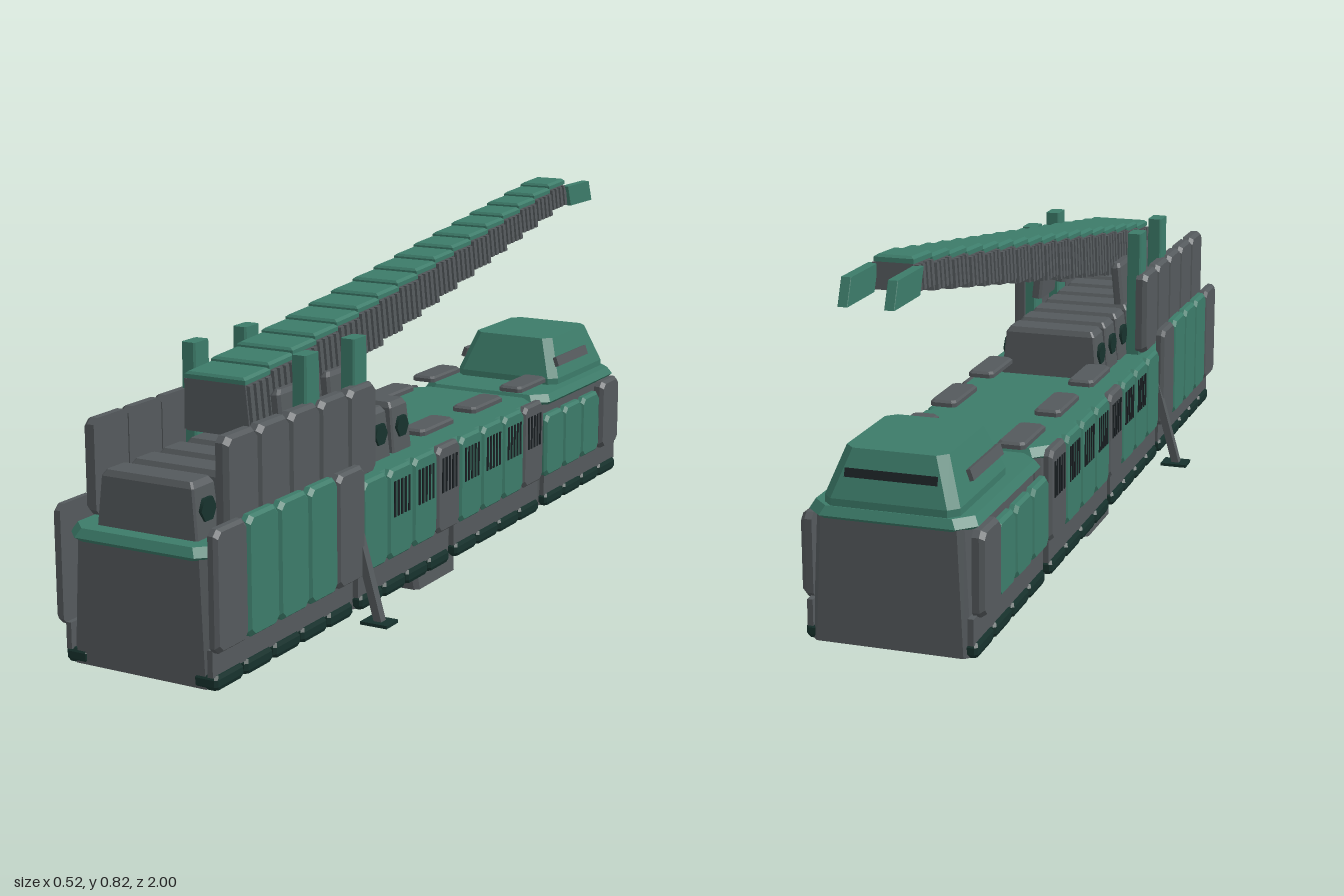
import * as THREE from 'three';

const mat = (name, color) => Object.assign(new THREE.MeshStandardMaterial({ color }), { name });

// Stack of chamfered rectangles [y, halfX, halfZ, chamfer] joined into a closed faceted solid
function loft(sections) {
  const rings = sections.map(([y, w, d, c = 0.001]) => [
    [w, d - c], [w, c - d], [w - c, -d], [c - w, -d],
    [-w, c - d], [-w, d - c], [c - w, d], [w - c, d],
  ].map(([x, z]) => [x, y, z]));
  const pos = [];
  const tri = (a, b, c) => pos.push(...a, ...b, ...c);
  for (let s = 0; s + 1 < rings.length; s++) {
    for (let i = 0; i < 8; i++) {
      const j = (i + 1) % 8, a = rings[s], b = rings[s + 1];
      tri(a[i], a[j], b[j]);
      tri(a[i], b[j], b[i]);
    }
  }
  const lo = rings[0], hi = rings[rings.length - 1];
  for (let i = 1; i < 7; i++) {
    tri(lo[0], lo[i + 1], lo[i]);
    tri(hi[0], hi[i], hi[i + 1]);
  }
  const g = new THREE.BufferGeometry();
  g.setAttribute('position', new THREE.Float32BufferAttribute(pos, 3));
  g.computeVertexNormals();
  return g;
}

export function createModel() {
  const root = new THREE.Group();
  root.name = 'armouredGunCarrier';
  const green = mat('armour green', 0x3c7b69);
  const gray = mat('steel gray', 0x54595c);
  const dark = mat('dark green', 0x17322d);
  const black = mat('vent black', 0x1b2124);

  const add = (name, geo, m, x = 0, y = 0, z = 0, parent = root) => {
    const mesh = new THREE.Mesh(geo, m);
    mesh.name = name;
    mesh.position.set(x, y, z);
    parent.add(mesh);
    return mesh;
  };
  const box = (name, m, w, h, d, x, y, z, parent) =>
    add(name, new THREE.BoxGeometry(w, h, d), m, x, y, z, parent);
  // Bevelled upright plate facing outwards; x is its inner face
  const plate = (name, m, side, x, t, y0, y1, z0, z1) => {
    const h = (y1 - y0) / 2, d = (z1 - z0) / 2;
    const g = loft([[0, h, d, 0.012], [t * 0.6, h, d, 0.012], [t, h - 0.006, d - 0.006, 0.012]]);
    g.rotateZ(-side * Math.PI / 2);
    return add(name, g, m, side * x, (y0 + y1) / 2, (z0 + z1) / 2);
  };

  // Hull modules with narrow gaps, joined by a core
  for (const [z0, z1] of [[0.465, 0.985], [0.03, 0.445], [-0.445, 0.01], [-0.918, -0.475]]) {
    const d = (z1 - z0) / 2;
    add('hull', loft([[0.05, 0.165, d, 0.012], [0.31, 0.152, d - 0.004, 0.012]]), gray, 0, 0, (z0 + z1) / 2);
  }
  box('hullCore', gray, 0.28, 0.17, 1.8, 0, 0.22, 0.03);

  // Deck edges
  for (const [z0, z1] of [[-0.452, 0.997], [-0.922, -0.468]]) {
    const d = (z1 - z0) / 2;
    add('deck', loft([[0.303, 0.165, d - 0.01, 0.035], [0.312, 0.175, d, 0.035], [0.33, 0.165, d - 0.01, 0.035]]),
      green, 0, 0, (z0 + z1) / 2);
  }

  // Belly box
  add('bellyBox', loft([[0, 0.146, 0.093, 0.01], [0.043, 0.142, 0.098, 0.01]]), gray, 0, 0, 0.035);

  // Rear cabin with slit windows
  add('cabin', loft([[0.328, 0.14, 0.153, 0.02], [0.345, 0.14, 0.153, 0.02], [0.44, 0.106, 0.118, 0.02]]),
    green, 0, 0, -0.757);
  const slit = box('cabinRearWindow', black, 0.19, 0.018, 0.008, 0, 0.395, -0.893);
  slit.rotation.x = 0.35;

  // Row of transverse casings under the gun, with dark side ports
  const casing = loft([[0, 0.118, 0.041, 0.004], [0.1, 0.108, 0.037, 0.004], [0.112, 0.1, 0.03, 0.004]]);
  const port = new THREE.CylinderGeometry(0.026, 0.026, 0.008, 6).rotateZ(Math.PI / 2);
  for (let i = 0; i < 9; i++) {
    const z = 0.912 - i * 0.0955;
    add('casing', casing, gray, 0, 0.33, z);
    for (const s of [-1, 1]) add('casingPort', port, dark, s * 0.115, 0.385, z);
  }

  for (const s of [-1, 1]) {
    // Tall lower side armour
    [gray, green, green, green, gray].forEach((m, i) => {
      const z1 = 0.998 - i * 0.112;
      plate('tallSidePanel', m, s, 0.172, 0.02, 0.128, 0.373, z1 - 0.109, z1);
    });
    // Short side armour, most with vent slots
    [green, green, green, gray, green, green, green, gray].forEach((m, i) => {
      const z1 = 0.434 - i * 0.111;
      plate('sidePanel', m, s, 0.165, 0.018, 0.128, 0.33, z1 - 0.108, z1);
      if (i > 0) {
        for (let k = 0; k < 5; k++)
          box('ventSlot', black, 0.004, 0.08, 0.007, s * 0.183, 0.262, z1 - 0.022 - k * 0.016);
      }
    });
    // Rear side armour
    [green, green, green, gray].forEach((m, i) => {
      const z1 = -0.468 - i * 0.109;
      plate('rearSidePanel', m, s, 0.165, i === 3 ? 0.025 : 0.018, 0.128, i === 3 ? 0.305 : 0.285, z1 - 0.106, z1);
    });
    // Raised upper armour
    for (let i = 0; i < 5; i++) {
      const z1 = 0.922 - i * 0.1145;
      plate('upperPanel', gray, s, 0.142, 0.027, 0.335, 0.532, z1 - 0.111, z1);
    }
    // Ground skids and the strips above them
    for (const [z0, z1, n] of [[0.468, 0.99, 5], [0.033, 0.442, 4], [-0.442, 0.007, 4], [-0.915, -0.478, 4]]) {
      const p = (z1 - z0) / n;
      box('lowerStrip', gray, 0.012, 0.055, z1 - z0, s * 0.167, 0.105, (z0 + z1) / 2);
      for (let k = 0; k < n; k++) {
        const skid = loft([[0, 0.024, p / 2 - 0.008, 0.006], [0.008, 0.027, p / 2 - 0.003, 0.006],
          [0.022, 0.027, p / 2 - 0.003, 0.006], [0.03, 0.024, p / 2 - 0.008, 0.006]]);
        add('skid', skid, dark, s * 0.152, 0.05, z0 + p * (k + 0.5));
      }
    }
    // Deck hatches
    for (const z of [0.035, -0.215, -0.46])
      add('deckHatch', loft([[0, 0.03, 0.076, 0.008], [0.009, 0.03, 0.076, 0.008], [0.014, 0.026, 0.07, 0.008]]),
        gray, s * 0.12, 0.355, z);
    // Cabin side hatch bars
    const bar = box('cabinSideBar', gray, 0.01, 0.024, 0.18, s * 0.13, 0.385, -0.72);
    bar.rotation.z = s * 0.34;
    // Gun support posts and slanted cheeks
    for (const z of [0.582, 0.39]) {
      add('supportPost', loft([[0.33, 0.018, 0.03, 0.004], [0.63, 0.017, 0.027, 0.004]]), green, s * 0.134, 0, z);
      const cheek = add('gunCheek', loft([[-0.05, 0.012, 0.06, 0.006], [0.04, 0.012, 0.06, 0.006], [0.05, 0.008, 0.05, 0.006]]),
        gray, s * 0.1, 0.51, z);
      cheek.rotation.z = s * 0.1;
    }
    // Outrigger: strut and foot
    const a = new THREE.Vector3(s * 0.228, 0.036, 0.445), b = new THREE.Vector3(s * 0.168, 0.25, 0.445);
    const strut = box('outriggerStrut', gray, 0.018, a.distanceTo(b), 0.02, 0, 0, 0);
    strut.position.copy(a).lerp(b, 0.5);
    strut.rotation.z = s * Math.atan2(0.06, 0.214);
    box('outriggerFoot', dark, 0.064, 0.007, 0.05, s * 0.226, 0.035, 0.445);
    // Muzzle prong, slanted at both ends
    const prong = loft([[0, 0.01, 0.066], [0.052, 0.01, 0.066]]);
    const p = prong.attributes.position;
    for (let i = 0; i < p.count; i++) p.setZ(i, p.getZ(i) + p.getY(i) * 0.4);
    prong.computeVertexNormals();
    add('muzzleProng', prong, green, s * 0.046, 0.75, -0.934);
  }

  // Tapering gun of overlapping ribbed segments
  const gun = new THREE.Group();
  gun.name = 'gun';
  root.add(gun);
  const pitch = 0.0922, n = 17;
  for (let i = 0; i < n; i++) {
    const t = i / (n - 1), lerp = (u, v) => u + (v - u) * t;
    const seg = new THREE.Group();
    seg.name = 'gunSegment';
    seg.position.set(0, lerp(0.598, 0.818), 0.71 - pitch * (i + 0.5));
    seg.rotation.x = 0.06;
    gun.add(seg);
    const h = lerp(0.125, 0.068), w = lerp(0.076, 0.044), wb = lerp(0.083, 0.05);
    add('segmentBody', loft([[-h, wb - 0.006, 0.044], [-0.01, w - 0.006, 0.044]]), gray, 0, 0, 0, seg);
    add('segmentRoof', loft([[-0.014, w - 0.003, 0.047], [-0.005, w - 0.003, 0.047], [0, w - 0.01, 0.042]]),
      green, 0, 0, 0, seg);
    for (const s of [-1, 1]) {
      for (let k = 0; k < 4; k++) {
        const rib = box('segmentRib', gray, 0.014, h - 0.018, 0.013, s * ((w + wb) / 2 - 0.005), -h / 2 - 0.008,
          -0.034 + k * 0.0227, seg);
        rib.rotation.z = s * Math.atan2(wb - w, h);
      }
    }
  }
  return root;
}
